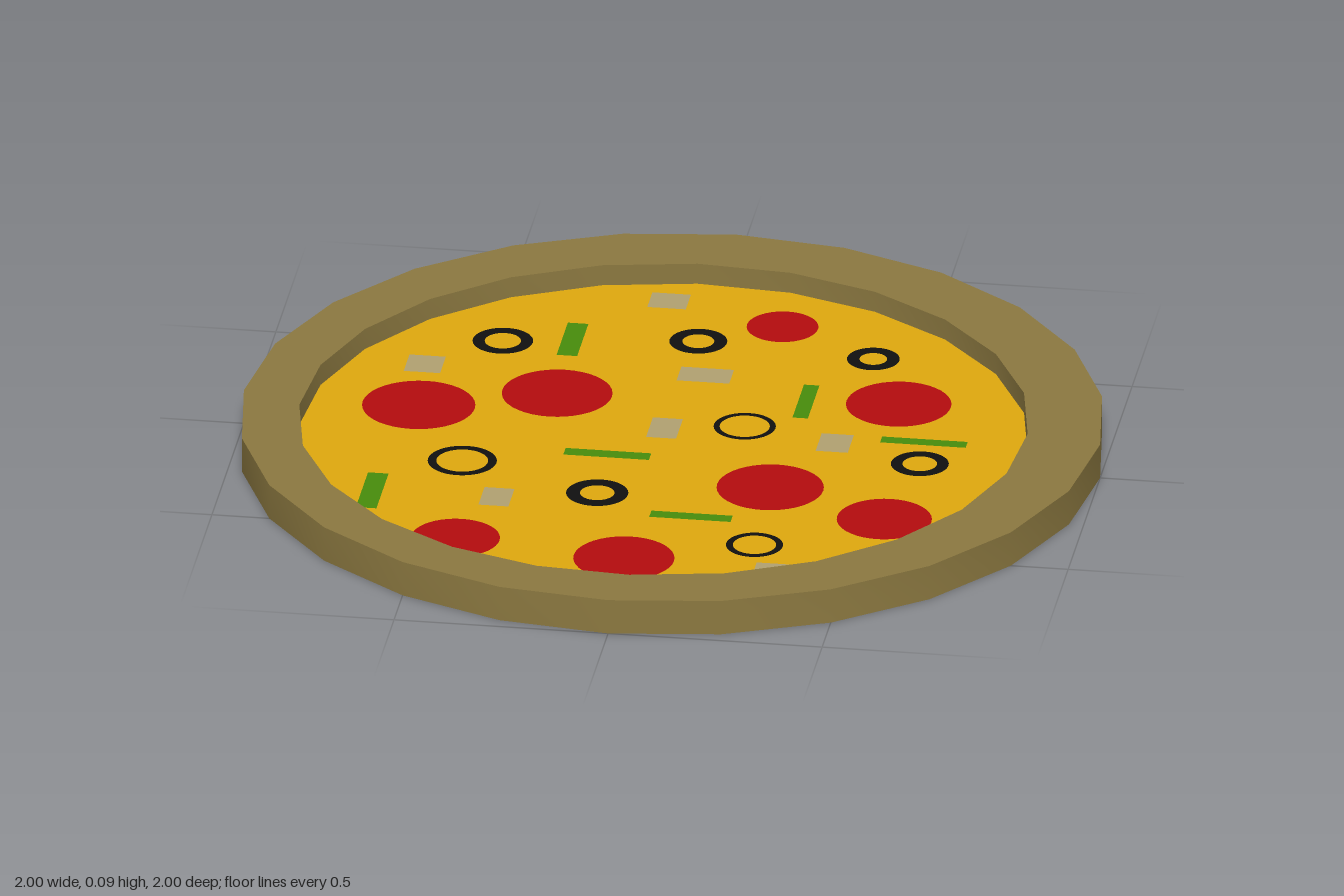
import * as THREE from 'three';
import { mergeGeometries, toCreasedNormals } from 'three/addons/utils/BufferGeometryUtils.js';

const HEIGHT = 0.085, FLOOR = 0.034, LIFT = 0.002;

const material = (color) => new THREE.MeshStandardMaterial({ color });

// Corners of a regular 24-sided outline in plan (shape y = -z)
function outline(radius, cx = 0, cz = 0, turn = 0) {
  return Array.from({ length: 24 }, (_, i) => {
    const a = turn + (i / 24) * Math.PI * 2;
    return new THREE.Vector2(cx + radius * Math.cos(a), -cz + radius * Math.sin(a));
  });
}

export function createModel() {
  const pizza = new THREE.Group();
  pizza.name = 'pizza';

  const add = (parent, name, geometry, mat, x = 0, y = 0, z = 0) => {
    const mesh = new THREE.Mesh(geometry, mat);
    mesh.name = name;
    mesh.position.set(x, y, z);
    parent.add(mesh);
  };

  // Crust: raised rim around a slightly off-centre well, closed underneath
  const well = outline(0.845, -0.018, 0.013, 0.055);
  const rimShape = new THREE.Shape(outline(1));
  rimShape.holes.push(new THREE.Path(well));
  const rim = new THREE.ExtrudeGeometry(rimShape, { depth: HEIGHT, bevelEnabled: false });
  const underside = new THREE.ShapeGeometry(new THREE.Shape(well)).toNonIndexed();
  // Turn the underside over to face down
  underside.rotateX(Math.PI);
  underside.scale(1, 1, 1);
  const flipped = new THREE.ShapeGeometry(
    new THREE.Shape(well.map((p) => new THREE.Vector2(p.x, -p.y)))
  ).toNonIndexed().rotateX(Math.PI);
  const crust = toCreasedNormals(mergeGeometries([rim, flipped]), 0.5).rotateX(-Math.PI / 2);
  add(pizza, 'crust', crust, material(0x8b7840));

  // Cheese: floor of the well
  const cheese = new THREE.ShapeGeometry(new THREE.Shape(well)).rotateX(-Math.PI / 2);
  add(pizza, 'cheese', cheese, material(0xdea80e), 0, FLOOR, 0);

  // Flat toppings, each row: x, z, then sizes
  const toppings = (name, color, rows, shape) => {
    const group = new THREE.Group();
    group.name = name + 's';
    const mat = material(color);
    for (const [x, z, a, b] of rows) {
      add(group, name, shape(a, b).rotateX(-Math.PI / 2), mat, x, FLOOR + LIFT, z);
    }
    pizza.add(group);
  };
  const disc = (r) => new THREE.CircleGeometry(r, 40);
  const ring = (outer, inner) => new THREE.RingGeometry(inner, outer, 40);
  const strip = (w, d) => new THREE.PlaneGeometry(w, d);

  toppings('sausageSlice', 0xb40c0e, [
    [0.165, -0.625, 0.083], [-0.297, -0.193, 0.128], [-0.604, -0.083, 0.131],
    [0.492, -0.251, 0.122], [0.265, 0.238, 0.124], [0.551, 0.369, 0.11],
    [-0.414, 0.615, 0.103], [-0.013, 0.666, 0.117],
  ], disc);

  toppings('oliveRing', 0x101010, [
    [-0.463, -0.455, 0.07, 0.042], [-0.016, -0.519, 0.067, 0.037],
    [0.398, -0.484, 0.061, 0.032], [0.158, -0.08, 0.072, 0.058],
    [0.588, 0.061, 0.067, 0.04], [-0.46, 0.2, 0.08, 0.06],
    [-0.126, 0.326, 0.072, 0.04], [0.275, 0.551, 0.066, 0.05],
  ], ring);

  toppings('pepperStrip', 0x478c0c, [
    [-0.305, -0.486, 0.048, 0.176], [0.278, -0.233, 0.036, 0.18],
    [0.58, -0.056, 0.2, 0.032], [-0.134, 0.115, 0.2, 0.036],
    [-0.642, 0.39, 0.048, 0.19], [0.107, 0.42, 0.19, 0.034],
  ], strip);

  toppings('onionPiece', 0xb0a070, [
    [-0.115, -0.725, 0.09, 0.08], [-0.623, -0.305, 0.085, 0.09],
    [0.027, -0.34, 0.123, 0.075], [-0.024, -0.043, 0.07, 0.107],
    [0.377, -0.021, 0.075, 0.096], [-0.353, 0.382, 0.07, 0.096],
    [0.358, 0.671, 0.128, 0.053],
  ], strip);

  return pizza;
}
